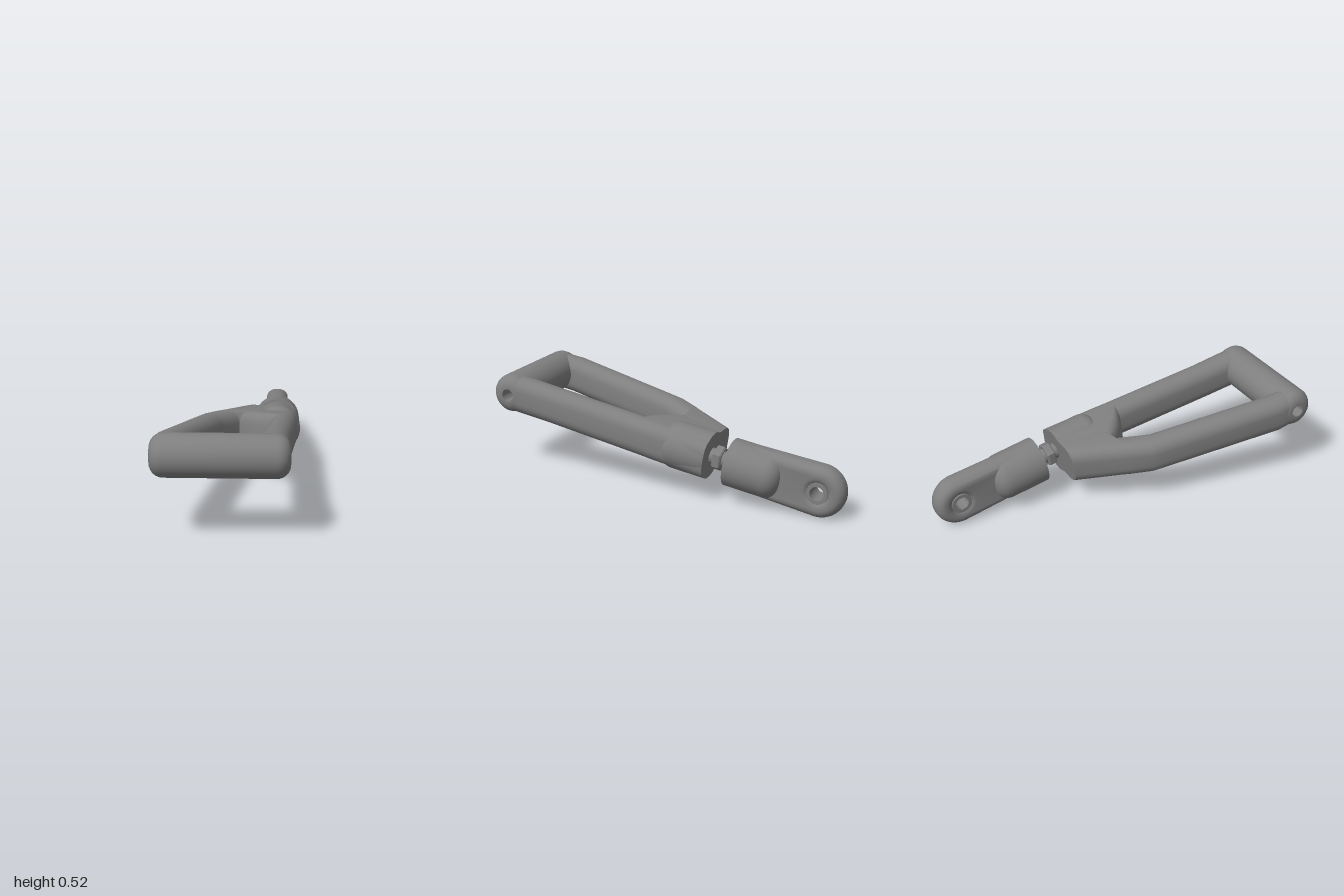
import * as THREE from 'three';
import { toCreasedNormals } from 'three/addons/utils/BufferGeometryUtils.js';

const metal = new THREE.MeshStandardMaterial({ color: 0x7f7f7f });
metal.name = 'grey metal';

const AXIS_X = 0.23; // shared axis of socket, stud and rod end

function part(name, geometry, crease = 0.6) {
  const mesh = new THREE.Mesh(toCreasedNormals(geometry, crease), metal);
  mesh.name = name;
  return mesh;
}

// Points of a quarter fillet, centred on (r, y), from angle a to angle b
function fillet(r, y, size, a, b, steps = 6) {
  return Array.from({ length: steps + 1 }, (_, i) => {
    const t = a + ((b - a) * i) / steps;
    return [r + Math.cos(t) * size, y + Math.sin(t) * size];
  });
}

function lathe(profile, segments = 40) {
  return new THREE.LatheGeometry(profile.map(([r, y]) => new THREE.Vector2(r, y)), segments);
}

// Solid turned about the long axis of the arm
function turned(name, profile, segments) {
  const mesh = part(name, lathe(profile, segments).rotateX(Math.PI / 2));
  mesh.position.x = AXIS_X;
  return mesh;
}

// Rounded-rectangle sections joined from front to back; station = [z, xMin, xMax, halfHeight]
function loft(stations, radius = 0.068, steps = 6) {
  const positions = [], index = [];
  const n = 4 * (steps + 1);
  for (const [z, x0, x1, h] of stations) {
    const r = Math.min(radius, (x1 - x0) / 2 - 0.002);
    const corners = [[x1 - r, h - r], [x0 + r, h - r], [x0 + r, r - h], [x1 - r, r - h]];
    corners.forEach(([cx, cy], q) => {
      for (let k = 0; k <= steps; k++) {
        const t = (q + k / steps) * Math.PI / 2;
        positions.push(cx + Math.cos(t) * r, cy + Math.sin(t) * r, z);
      }
    });
  }
  const last = (stations.length - 1) * n;
  for (let j = 0; j < n; j++) {
    const k = (j + 1) % n;
    for (let i = 0; i < last; i += n) {
      index.push(i + j, i + n + j, i + k, i + k, i + n + j, i + n + k);
    }
    if (j > 0 && j < n - 1) index.push(0, j, k, last, last + k, last + j);
  }
  const geometry = new THREE.BufferGeometry();
  geometry.setAttribute('position', new THREE.Float32BufferAttribute(positions, 3));
  geometry.setIndex(index);
  return geometry;
}

export function createModel() {
  const model = new THREE.Group();
  model.name = 'controlArm';
  const arm = new THREE.Group();
  arm.name = 'tiltedArm';
  arm.position.y = 0.276;
  arm.rotation.x = -0.158;
  model.add(arm);

  // Front pivot bar with filleted ends and a bore right through
  const half = 0.3275, R = 0.105, f = 0.065, bore = 0.034;
  const bar = part('pivotBar', lathe([
    [bore, -half],
    ...fillet(R - f, f - half, f, -Math.PI / 2, 0),
    ...fillet(R - f, half - f, f, 0, Math.PI / 2),
    [bore, half], [bore, -half],
  ], 48).rotateZ(-Math.PI / 2));
  bar.position.set(-0.0325, 0, 0.907);
  arm.add(bar);

  // Straight arm, widening into the web at the back
  arm.add(part('straightArm', loft([
    [0.872, 0.143, 0.293, 0.1],
    [0.66, 0.153, 0.295, 0.1],
    [0.115, 0.188, 0.328, 0.101],
    [0.09, 0.14, 0.33, 0.101],
    [0.06, 0.1, 0.332, 0.101],
    [0.02, 0.06, 0.335, 0.102],
    [-0.03, 0.02, 0.338, 0.102],
    [-0.282, 0.08, 0.35, 0.105],
  ])));

  // Cranked arm
  arm.add(part('crankedArm', loft([
    [0.872, -0.355, -0.21, 0.1],
    [0.79, -0.358, -0.207, 0.1],
    [0.14, -0.213, -0.065, 0.1],
    [0.08, -0.198, -0.032, 0.1],
    [-0.02, -0.14, 0.028, 0.102],
    [-0.06, -0.115, 0.2, 0.102],
    [-0.282, 0.018, 0.25, 0.105],
  ])));

  // Socket at the back of the frame
  arm.add(turned('socket', [
    [0, -0.282], [0.124, -0.282], [0.124, -0.09],
    ...fillet(0.054, -0.09, 0.07, 0, Math.PI / 2), [0, -0.02],
  ]));

  // Threaded stud and lock nut
  arm.add(turned('stud', [[0, -0.42], [0.042, -0.42], [0.042, -0.26], [0, -0.26]], 24));
  arm.add(turned('lockNut', [
    [0, -0.35], [0.06, -0.35], [0.067, -0.343], [0.067, -0.312], [0.06, -0.305], [0, -0.305],
  ], 6));

  // Rod end shank with a rounded shoulder
  arm.add(turned('rodEndShank', [
    [0, -0.68],
    ...fillet(0.045, -0.6, 0.08, -Math.PI / 2, 0, 8),
    [0.125, -0.39], [0, -0.39],
  ]));

  // Rod end eye: rounded plate with a flared opening
  const eyeZ = 0.874;
  const outline = new THREE.Shape();
  outline.moveTo(0.55, -0.083);
  outline.lineTo(eyeZ, -0.092);
  outline.absarc(eyeZ, 0, 0.092, -Math.PI / 2, Math.PI / 2, false);
  outline.lineTo(0.55, 0.083);
  outline.closePath();
  const opening = new THREE.Path();
  opening.absarc(eyeZ, 0, 0.083, 0, Math.PI * 2, true);
  outline.holes.push(opening);
  const eye = part('rodEndEye', new THREE.ExtrudeGeometry(outline, {
    depth: 0.012, bevelThickness: 0.056, bevelSize: 0.045, bevelSegments: 7, curveSegments: 24,
  }).translate(0, 0, -0.006).rotateY(Math.PI / 2));
  eye.position.x = AXIS_X;
  arm.add(eye);

  // Bearing ring in the eye
  const ring = part('bearingRing', lathe([
    [0.037, -0.06], [0.056, -0.06], [0.062, 0], [0.056, 0.06], [0.037, 0.06], [0.037, -0.06],
  ], 32).rotateZ(-Math.PI / 2));
  ring.position.set(AXIS_X, 0, -eyeZ);
  arm.add(ring);

  return model;
}
